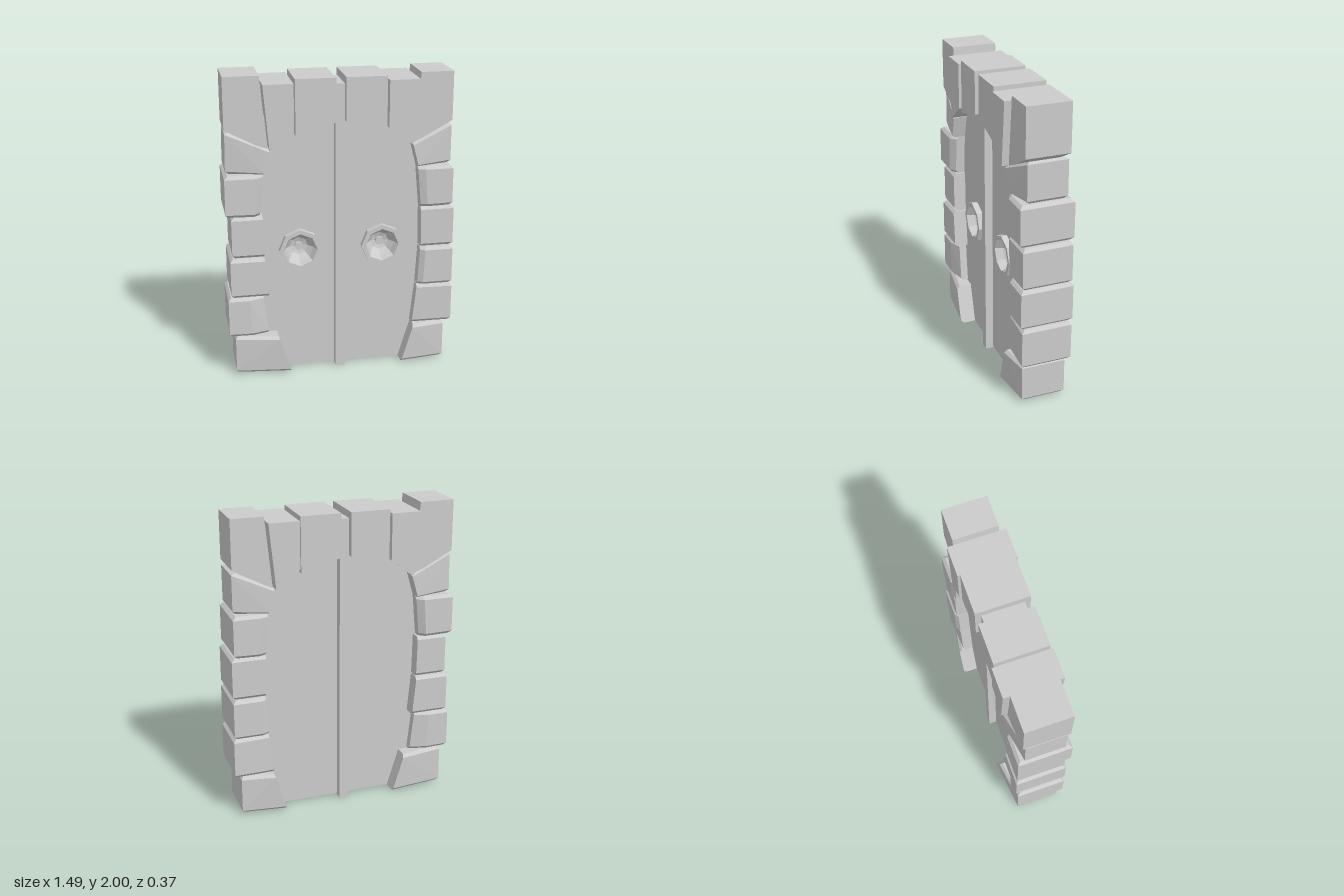
import * as THREE from 'three';
import { ConvexGeometry } from 'three/addons/geometries/ConvexGeometry.js';

const material = new THREE.MeshStandardMaterial({ color: 0xcccccc, flatShading: true });

function add(parent, name, geometry) {
  const mesh = new THREE.Mesh(geometry, material);
  mesh.name = name;
  parent.add(mesh);
  return mesh;
}

// Stone block: quad corners run outer-bottom, inner-bottom, inner-top, outer-top.
// c chamfers the top and bottom edges; the half-depth goes from d0 (outer) to
// d1 (inner), staying at d0 until the fraction "knee" of the width.
function stone({ quad, d0, d1 = d0, c = 0.02, knee = 0 }) {
  const [ob, ib, it, ot] = quad.map(([x, y]) => new THREE.Vector2(x, y));
  const height = ot.y - ob.y;
  const width = Math.abs(ib.x - ob.x);
  const rows = c ? [[0, c], [c / height, 0], [1 - c / height, 0], [1, c]] : [[0, 0], [1, 0]];
  const columns = knee ? [0, knee, 1] : [0, 1];
  const points = [];
  for (const [v, inset] of rows) {
    const outer = ob.clone().lerp(ot, v);
    const inner = ib.clone().lerp(it, v);
    for (const u of columns) {
      const p = outer.clone().lerp(inner, u === 0 ? inset / width : u);
      const depth = (u === 1 ? d1 : d0) - inset;
      for (const s of [-1, 1]) points.push(new THREE.Vector3(p.x, p.y, s * depth));
    }
  }
  return new ConvexGeometry(points);
}

// Jamb stones, bottom to top, then corner and lintel stones
const rightSideStones = [
  { quad: [[-0.71, 0.01], [-0.35, 0.01], [-0.43, 0.27], [-0.71, 0.275]], d0: 0.145, d1: 0.185 },
  { quad: [[-0.75, 0.285], [-0.49, 0.28], [-0.52, 0.555], [-0.75, 0.555]], d0: 0.165, d1: 0.13, knee: 0.58 },
  { quad: [[-0.73, 0.56], [-0.485, 0.56], [-0.51, 0.825], [-0.73, 0.825]], d0: 0.172 },
  { quad: [[-0.715, 0.83], [-0.51, 0.83], [-0.515, 1.105], [-0.715, 1.105]], d0: 0.163 },
  { quad: [[-0.75, 1.11], [-0.53, 1.105], [-0.505, 1.38], [-0.75, 1.38]], d0: 0.175, d1: 0.14, knee: 0.82 },
  { quad: [[-0.74, 1.385], [-0.505, 1.38], [-0.46, 1.535], [-0.735, 1.66]], d0: 0.13, d1: 0.17 },
  { quad: [[-0.74, 1.67], [-0.475, 1.53], [-0.515, 2.0], [-0.74, 2.0]], d0: 0.147, c: 0 },
  { quad: [[-0.465, 1.535], [-0.31, 1.65], [-0.31, 1.95], [-0.5, 1.95]], d0: 0.184, c: 0 },
  { quad: [[-0.3, 1.62], [-0.045, 1.695], [-0.045, 1.975], [-0.3, 1.975]], d0: 0.17, c: 0 },
];
const leftSideStones = [
  { quad: [[0.695, 0.01], [0.4, 0.01], [0.48, 0.275], [0.695, 0.275]], d0: 0.145, d1: 0.18 },
  { quad: [[0.74, 0.285], [0.475, 0.28], [0.505, 0.555], [0.74, 0.555]], d0: 0.165, d1: 0.15 },
  { quad: [[0.735, 0.56], [0.505, 0.56], [0.52, 0.825], [0.735, 0.825]], d0: 0.172, d1: 0.15, knee: 0.85 },
  { quad: [[0.735, 0.83], [0.52, 0.83], [0.515, 1.105], [0.735, 1.105]], d0: 0.163 },
  { quad: [[0.72, 1.11], [0.515, 1.105], [0.49, 1.38], [0.72, 1.38]], d0: 0.175, d1: 0.155, knee: 0.8 },
  { quad: [[0.71, 1.385], [0.49, 1.38], [0.45, 1.535], [0.71, 1.655]], d0: 0.13, d1: 0.17 },
  { quad: [[0.71, 1.67], [0.455, 1.53], [0.5, 1.985], [0.71, 1.985]], d0: 0.143, c: 0 },
  { quad: [[0.445, 1.535], [0.29, 1.65], [0.29, 1.95], [0.485, 1.95]], d0: 0.184, c: 0 },
  { quad: [[0.28, 1.62], [0.02, 1.695], [0.02, 1.975], [0.28, 1.975]], d0: 0.17, c: 0 },
];

function doorShape() {
  return new THREE.Shape([
    [-0.55, 0.01], [0.55, 0.01], [0.58, 0.9], [0.54, 1.5], [0.45, 1.9],
    [-0.45, 1.9], [-0.54, 1.5], [-0.58, 0.9],
  ].map(([x, y]) => new THREE.Vector2(x, y)));
}

export function createModel() {
  const model = new THREE.Group();
  model.name = 'stoneDoorway';

  // Stone surround
  const surround = new THREE.Group();
  surround.name = 'stoneSurround';
  model.add(surround);
  const names = ['jambStone1', 'jambStone2', 'jambStone3', 'jambStone4', 'jambStone5',
    'jambStone6', 'cornerStone', 'archStone', 'lintelStone'];
  for (const [side, list] of [['Right', rightSideStones], ['Left', leftSideStones]]) {
    list.forEach((spec, i) => add(surround, names[i] + side, stone(spec)));
  }

  // Door slab: solid back half, front half with octagonal openings
  const handleX = 0.27, handleY = 0.845, slabHalf = 0.08;
  const front = doorShape();
  for (const s of [-1, 1]) {
    const hole = [];
    for (let i = 0; i < 8; i++) {
      const a = -i * Math.PI / 4;
      hole.push(new THREE.Vector2(s * handleX + 0.115 * Math.cos(a), handleY + 0.115 * Math.sin(a)));
    }
    front.holes.push(new THREE.Path(hole));
  }
  const extrude = { depth: slabHalf, bevelEnabled: false };
  add(model, 'doorFront', new THREE.ExtrudeGeometry(front, extrude));
  add(model, 'doorBack', new THREE.ExtrudeGeometry(doorShape(), extrude)).position.z = -slabHalf;

  // Bar over the joint of the two leaves, showing on both faces
  add(model, 'centreBar', new THREE.BoxGeometry(0.06, 1.93, 0.265)).position.set(-0.013, 0.965, 0);

  // Octagonal recessed pulls on the front
  const profile = [[0.138, 0.06], [0.138, 0.12], [0.11, 0.12], [0.092, 0.07],
    [0.06, 0.03], [0.028, 0.02], [0.028, 0.04], [0, 0.04]].map(([r, h]) => new THREE.Vector2(r, h));
  for (const s of [-1, 1]) {
    const pull = new THREE.LatheGeometry(profile, 8).rotateX(Math.PI / 2);
    add(model, s < 0 ? 'doorPullRight' : 'doorPullLeft', pull).position.set(s * handleX, handleY, 0);
  }
  return model;
}
